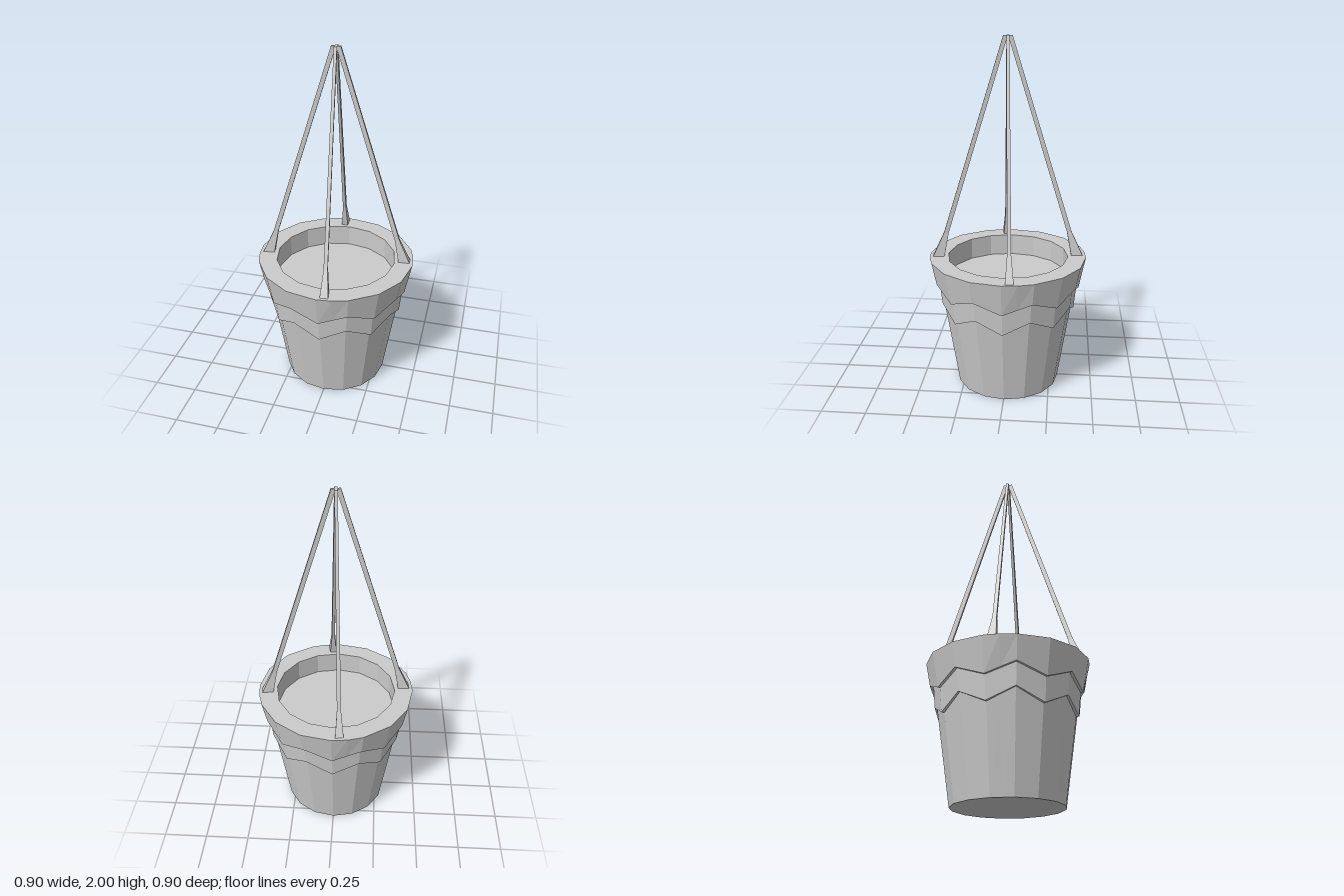
import * as THREE from 'three';

const SIDES = 16;
const material = new THREE.MeshStandardMaterial({ color: 0xcccccc, flatShading: true });

// Faceted surface through stacked closed rings of [x, y, z] points
function skin(name, rings) {
  const n = rings[0].length, pos = [], idx = [];
  rings.forEach(ring => ring.forEach(p => pos.push(...p)));
  for (let k = 0; k < rings.length - 1; k++) {
    for (let i = 0; i < n; i++) {
      const j = (i + 1) % n;
      const a = k * n + i, b = k * n + j, c = a + n, d = b + n;
      idx.push(a, b, d, a, d, c);
    }
  }
  const g = new THREE.BufferGeometry();
  g.setAttribute('position', new THREE.Float32BufferAttribute(pos, 3));
  g.setIndex(idx);
  const flat = g.toNonIndexed();
  flat.computeVertexNormals();
  const mesh = new THREE.Mesh(flat, material);
  mesh.name = name;
  return mesh;
}

// 16-sided ring with an extra corner in the strap-side facet of each quarter.
// height(i) is a level or a zigzag, radius(y) the wall slope there.
function ring(radius, height, bulge = Math.cos(Math.PI / SIDES)) {
  const pts = [];
  const corner = (i, r, y) => {
    const a = i * 2 * Math.PI / SIDES;
    pts.push([r * Math.sin(a), y, r * Math.cos(a)]);
  };
  for (let i = 0; i < SIDES; i++) {
    const y = height(i), r = radius(y);
    corner(i, r, y);
    if (i % 4 === 0) {
      const y2 = height(i + 1), r2 = radius(y2);
      corner(i + 0.5, (r + r2) / 2 * bulge, (y + y2) / 2);
    }
  }
  return pts;
}

const level = y => () => y;
const zigzag = (low, high) => i => (i % 2 ? high : low);

export function createModel() {
  const group = new THREE.Group();
  group.name = 'hangingPlanter';

  // Three overlapping tiers with zigzag lower edges
  const lowerEdge = zigzag(0.45, 0.52), upperEdge = zigzag(0.58, 0.64);
  const bodyR = y => 0.3 + 0.155 * y;
  const bandR = y => 0.386 + 0.1 * (y - 0.45);
  const rimR = y => 0.45 - 0.2 * (0.77 - y);
  const fixed = r => () => r;

  group.add(skin('potBody', [
    ring(fixed(0), level(0)), ring(bodyR, level(0)), ring(bodyR, lowerEdge),
  ]));
  group.add(skin('middleBand', [
    ring(bodyR, lowerEdge), ring(bandR, lowerEdge), ring(bandR, upperEdge),
  ]));
  group.add(skin('rimBand', [
    ring(bandR, upperEdge), ring(rimR, upperEdge), ring(rimR, level(0.77), 0.998),
    ring(fixed(0.345), level(0.77)), ring(fixed(0.345), level(0.645)),
  ]));
  group.add(skin('soil', [ring(fixed(0.345), level(0.645)), ring(fixed(0), level(0.645))]));

  // Four straps, flared at the foot, meeting at the top
  const section = (y, inner, outer, w) =>
    [[-w, y, outer], [w, y, outer], [w * 0.8, y, inner], [-w * 0.8, y, inner]];
  const point = (y, r) => Array.from({ length: 4 }, () => [0, y, r]);
  for (let k = 0; k < 4; k++) {
    const strap = skin('strap' + (k + 1), [
      point(0.77, 0.4),
      section(0.77, 0.365, 0.43, 0.023),
      section(0.91, 0.338, 0.365, 0.011),
      section(2, 0, 0.025, 0.008),
      point(2, 0.012),
    ]);
    strap.rotation.y = 0.099 + k * Math.PI / 2;
    group.add(strap);
  }
  return group;
}
